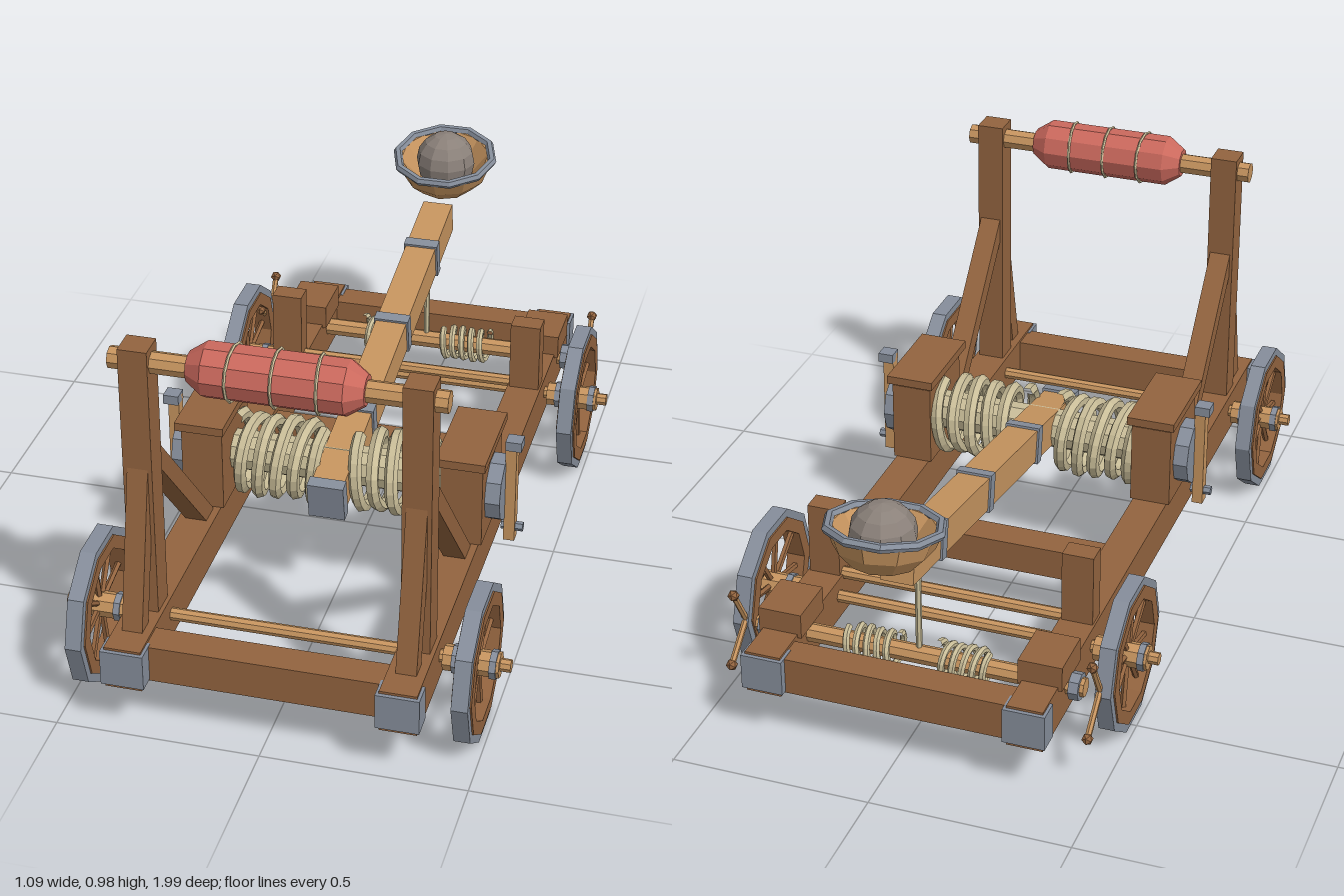
import * as THREE from 'three';

export function createModel() {
  const root = new THREE.Group();
  const material = (name, color) => {
    const m = new THREE.MeshStandardMaterial({ color, flatShading: true });
    m.name = name;
    return m;
  };
  const wood = material('dark wood', 0x93643f);
  const paleWood = material('pale wood', 0xc6945f);
  const metal = material('iron', 0x868e9b);
  const rope = material('rope', 0xc9bd98);
  const red = material('red padding', 0xcb695d);
  const stone = material('stone', 0x8b817a);
  const V = (x, y, z) => new THREE.Vector3(x, y, z);

  function add(name, geometry, mat, parent = root) {
    const mesh = new THREE.Mesh(geometry, mat);
    mesh.name = name;
    parent.add(mesh);
    return mesh;
  }
  function box(name, mat, w, h, d, x, y, z) {
    const mesh = add(name, new THREE.BoxGeometry(w, h, d), mat);
    mesh.position.set(x, y, z);
    return mesh;
  }
  // Square beam between two points
  function beam(name, mat, a, b, w, h) {
    const dir = b.clone().sub(a);
    const mesh = add(name, new THREE.BoxGeometry(w, h, dir.length()), mat);
    mesh.position.copy(a).add(b).multiplyScalar(0.5);
    mesh.quaternion.setFromUnitVectors(V(0, 0, 1), dir.normalize());
    return mesh;
  }
  // Round rod between two points
  function rod(name, mat, a, b, r, sides = 8, parent = root) {
    const dir = b.clone().sub(a);
    const mesh = add(name, new THREE.CylinderGeometry(r, r, dir.length(), sides), mat, parent);
    mesh.position.copy(a).add(b).multiplyScalar(0.5);
    mesh.quaternion.setFromUnitVectors(V(0, 1, 0), dir.normalize());
    return mesh;
  }
  // Square-section ring turned about the x axis
  function ring(name, mat, inner, outer, halfWidth, sides, parent) {
    const p = [[inner, -1], [outer, -1], [outer, 1], [inner, 1], [inner, -1]]
      .map(([r, k]) => new THREE.Vector2(r, k * halfWidth));
    const mesh = add(name, new THREE.LatheGeometry(p, sides), mat, parent);
    mesh.rotation.z = Math.PI / 2;
    return mesh;
  }
  // Rope wound about a line parallel to x
  function coil(name, x0, x1, y, z, radius, thick, turns) {
    const pts = [];
    const n = turns * 10;
    for (let i = 0; i <= n; i++) {
      const a = (i / 10) * Math.PI * 2;
      const r = radius * (1 + 0.05 * Math.sin(i * 1.7));
      pts.push(V(x0 + ((x1 - x0) * i) / n, y + r * Math.cos(a), z + r * Math.sin(a)));
    }
    add(name, new THREE.TubeGeometry(new THREE.CatmullRomCurve3(pts), n * 2, thick, 6), rope);
  }

  // Base frame
  for (const z of [0.915, -0.11, -0.79]) {
    box('crossBeam', wood, 0.6, z === -0.11 ? 0.08 : 0.095, 0.08, 0, 0.197, z);
  }
  for (const s of [-1, 1]) {
    const x = 0.33 * s;
    box('sideRail', wood, 0.09, 0.11, 1.83, x, 0.197, 0.075);
    box('frontCornerCap', metal, 0.105, 0.092, 0.06, x, 0.2, 0.97);
    box('rearCornerCap', metal, 0.105, 0.092, 0.06, x, 0.2, -0.82);

    // Upright frame with braces
    box('upright', wood, 0.07, 0.71, 0.07, x, 0.605, 0.79);
    beam('rearBrace', wood, V(x, 0.69, 0.79), V(x, 0.24, 0.385), 0.055, 0.045);
    beam('frontBrace', wood, V(x, 0.7, 0.79), V(x, 0.24, 0.895), 0.05, 0.045);

    // Torsion block, iron washer and lever
    box('torsionBlock', wood, 0.105, 0.215, 0.22, x, 0.36, 0.25);
    box('torsionBlockTop', wood, 0.125, 0.022, 0.255, x, 0.487, 0.255);
    rod('torsionWasher', metal, V(0.38 * s, 0.36, 0.25), V(0.42 * s, 0.36, 0.25), 0.085, 10);
    rod('torsionPin', metal, V(0.41 * s, 0.25, 0.25), V(0.465 * s, 0.25, 0.25), 0.012, 6);
    box('torsionLever', paleWood, 0.028, 0.28, 0.032, 0.432 * s, 0.355, 0.25);
    box('leverTip', metal, 0.04, 0.025, 0.04, 0.438 * s, 0.49, 0.25);
    coil('torsionRope', 0.045 * s, 0.275 * s, 0.355, 0.245, 0.092, 0.017, 5);

    // Rear stop posts and winch brackets
    box('rearPost', wood, 0.08, 0.2, 0.055, x, 0.34, -0.43);
    box('winchBracket', wood, 0.11, 0.065, 0.135, x, 0.275, -0.665);

    // Crossed winch handles
    for (const a of [0.7, 2.1]) {
      const dy = Math.sin(a) * 0.12, dz = Math.cos(a) * 0.12;
      rod('winchHandle', paleWood, V(0.455 * s, 0.215 - dy, -0.66 - dz),
        V(0.455 * s, 0.215 + dy, -0.66 + dz), 0.008, 6);
      for (const k of [-1, 1]) {
        const knob = add('winchHandleKnob', new THREE.IcosahedronGeometry(0.015, 0), wood);
        knob.position.set(0.455 * s, 0.215 + k * dy, -0.66 + k * dz);
      }
    }
    rod('winchCollar', metal, V(0.385 * s, 0.215, -0.66), V(0.41 * s, 0.215, -0.66), 0.035);
  }

  // Padded stop bar
  rod('stopBar', paleWood, V(-0.395, 0.918, 0.79), V(0.395, 0.918, 0.79), 0.027);
  const padProfile = [[0, -0.207], [0.037, -0.207], [0.066, -0.165],
    [0.066, 0.165], [0.037, 0.207], [0, 0.207]].map(([r, h]) => new THREE.Vector2(r, h));
  const pad = add('stopPad', new THREE.LatheGeometry(padProfile, 10), red);
  pad.rotation.z = Math.PI / 2;
  pad.position.set(0, 0.92, 0.79);
  [-0.1, 0, 0.1].forEach((x, i) => {
    const tie = add('padTie', new THREE.TorusGeometry(0.068, 0.004, 5, 12), rope);
    tie.rotation.y = Math.PI / 2 + (i - 1) * 0.08;
    tie.position.set(x, 0.92, 0.79);
  });

  // Torsion bundle core
  rod('torsionCore', rope, V(-0.28, 0.36, 0.245), V(0.28, 0.36, 0.245), 0.052, 10);

  // Throwing arm with iron bands
  const armBase = V(0, 0.342, 0.4), armTip = V(0, 0.54, -0.785);
  const alongArm = (t) => armBase.clone().lerp(armTip, t);
  beam('throwingArm', paleWood, armBase, armTip, 0.082, 0.086);
  beam('armBaseCap', metal, alongArm(-0.003), alongArm(0.025), 0.092, 0.1);
  for (const t of [0.26, 0.565, 0.84]) {
    beam('armBand', metal, alongArm(t - 0.013), alongArm(t + 0.013), 0.092, 0.098);
  }

  // Bowl and its stone
  const bowl = new THREE.Group();
  bowl.name = 'bowl';
  bowl.position.set(0, 0.69, -0.855);
  bowl.rotation.x = 0.17;
  root.add(bowl);
  const bowlProfile = [[0, -0.093], [0.08, -0.09], [0.118, -0.05], [0.138, 0],
    [0.122, 0], [0.07, -0.065], [0, -0.075]].map(([r, h]) => new THREE.Vector2(r, h));
  add('bowlShell', new THREE.LatheGeometry(bowlProfile, 10), paleWood, bowl);
  const bowlRim = add('bowlRim', new THREE.TorusGeometry(0.134, 0.012, 6, 10), metal, bowl);
  bowlRim.rotation.x = Math.PI / 2;
  const ball = add('stoneBall', new THREE.SphereGeometry(0.082, 10, 8), stone);
  ball.position.set(0, 0.673, -0.865);

  // Winch drum and rope up to the arm
  rod('winchShaft', paleWood, V(-0.42, 0.215, -0.66), V(0.42, 0.215, -0.66), 0.024);
  coil('winchRopeLeft', 0.05, 0.18, 0.215, -0.66, 0.04, 0.009, 5);
  coil('winchRopeRight', -0.05, -0.18, 0.215, -0.66, 0.04, 0.009, 5);
  rod('pullRope', rope, V(0, 0.22, -0.66), V(0, 0.49, -0.66), 0.008, 6);
  rod('rearTieBar', paleWood, V(-0.3, 0.25, -0.435), V(0.3, 0.25, -0.435), 0.016);

  // Axles and spoked wheels
  for (const z of [0.76, -0.475]) {
    rod('axle', paleWood, V(-0.545, 0.205, z), V(0.545, 0.205, z), 0.016);
    for (const s of [-1, 1]) {
      const wheel = new THREE.Group();
      wheel.name = 'wheel';
      wheel.position.set(0.465 * s, 0.203, z);
      root.add(wheel);
      ring('tyre', metal, 0.174, 0.197, 0.02, 10, wheel);
      ring('rim', wood, 0.142, 0.176, 0.024, 10, wheel);
      for (let i = 0; i < 8; i++) {
        const a = (i * Math.PI) / 4 + 0.2;
        rod('spoke', wood, V(0, 0, 0), V(0, Math.cos(a) * 0.155, Math.sin(a) * 0.155), 0.008, 5, wheel);
      }
      rod('hub', paleWood, V(-0.08 * s, 0, 0), V(0.055 * s, 0, 0), 0.032, 8, wheel);
      for (const x of [-0.05, 0.04]) {
        ring('hubBand', metal, 0.025, 0.036, 0.008, 8, wheel).position.x = x * s;
      }
    }
  }
  return root;
}
